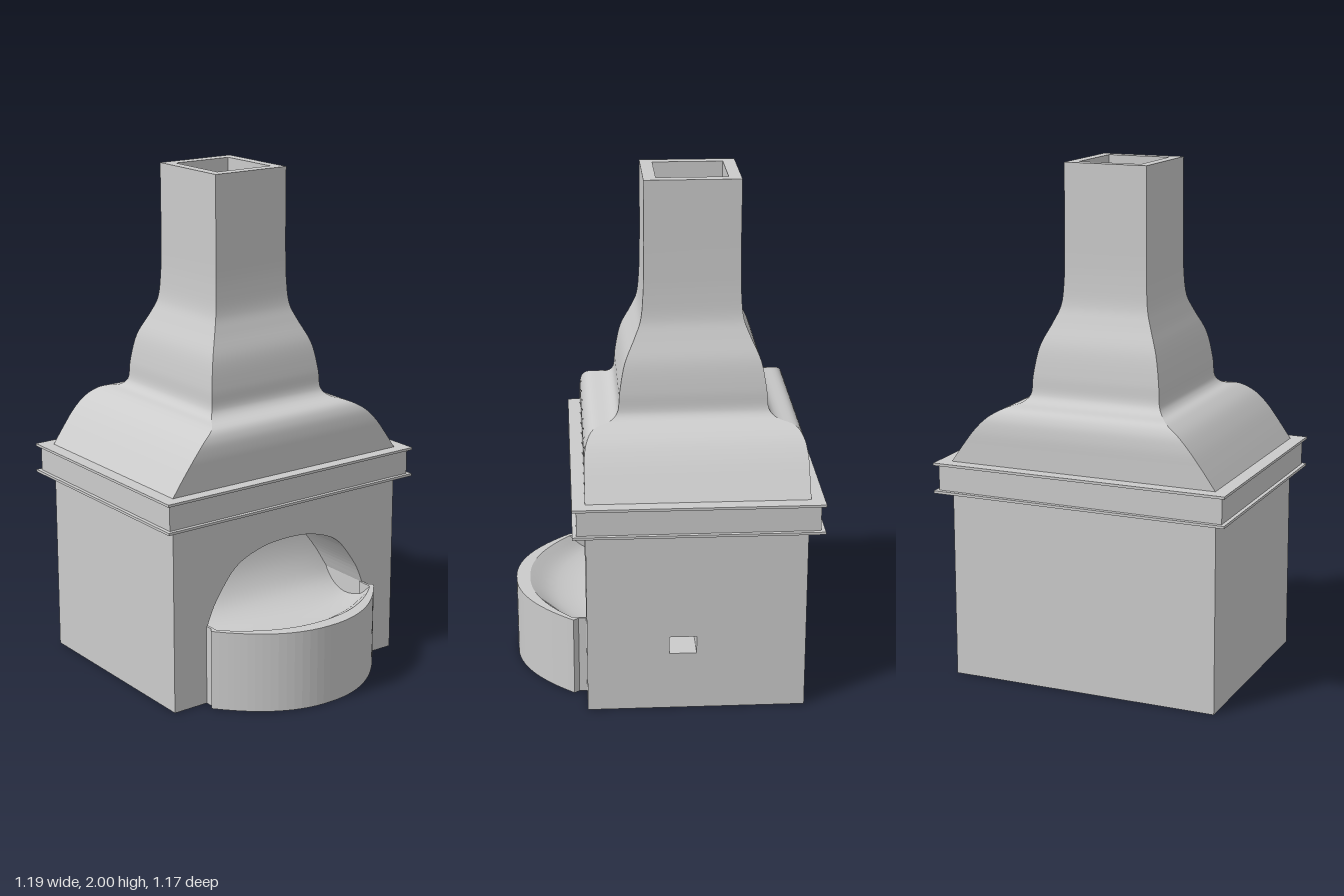
import * as THREE from 'three';

const CZ = -0.1125; // depth centre of the hood and flue
const mat = new THREE.MeshStandardMaterial({ color: 0xcccccc });
const matDouble = new THREE.MeshStandardMaterial({ color: 0xcccccc, side: THREE.DoubleSide });
const v2 = (p) => new THREE.Vector2(p[0], p[1]);

function add(parent, name, geometry, material = mat) {
  const mesh = new THREE.Mesh(geometry, material);
  mesh.name = name;
  parent.add(mesh);
  return mesh;
}

// Box given by its limits
function block(parent, name, x0, x1, y0, y1, z0, z1) {
  const mesh = add(parent, name, new THREE.BoxGeometry(x1 - x0, y1 - y0, z1 - z0));
  mesh.position.set((x0 + x1) / 2, (y0 + y1) / 2, (z0 + z1) / 2);
}

function rect(Type, x0, x1, y0, y1) {
  return new Type([[x0, y0], [x1, y0], [x1, y1], [x0, y1]].map(v2));
}

const extrude = (shape, depth) => new THREE.ExtrudeGeometry(shape, { depth, bevelEnabled: false });

// Four-sided skin through rows of [y, half width, half depth], sharp at the corners
function fourSided(rows) {
  const corners = [[1, 1], [1, -1], [-1, -1], [-1, 1]];
  const pos = [], index = [];
  for (let s = 0; s < 4; s++) {
    const start = pos.length / 3;
    rows.forEach(([y, hx, hz], r) => {
      for (const [cx, cz] of [corners[s], corners[(s + 1) % 4]]) pos.push(cx * hx, y, CZ + cz * hz);
      if (r === 0) return;
      const a = start + (r - 1) * 2;
      index.push(a, a + 1, a + 3, a, a + 3, a + 2);
    });
  }
  const g = new THREE.BufferGeometry();
  g.setAttribute('position', new THREE.Float32BufferAttribute(pos, 3));
  g.setIndex(index);
  g.computeVertexNormals();
  return g;
}

// Plan curves of the hearth: z of the outer face and of the inner lip
const outerZ = (x) => 0.36 + 0.225 * (1 - Math.pow(Math.abs(x) / 0.405, 2.2));
const innerZ = (x) => 0.345 + 0.185 * (1 - Math.pow(Math.abs(x) / 0.4, 2.2));

function sweep(fn, half, n = 40) {
  return Array.from({ length: n + 1 }, (_, i) => {
    const x = -half * Math.cos((Math.PI * i) / n);
    return [x, fn(x)];
  });
}

// Extrude a plan of [x, z] points upward
function planExtrude(points, height) {
  const g = extrude(new THREE.Shape(points.map(([x, z]) => new THREE.Vector2(x, -z))), height);
  return g.rotateX(-Math.PI / 2);
}

function buildBody(parent) {
  // Front wall with the arched fire opening
  const front = rect(THREE.Shape, -0.54, 0.54, 0, 0.75);
  const half = new THREE.SplineCurve([[0.385, 0.32], [0.355, 0.39], [0.31, 0.46], [0.26, 0.52],
    [0.2, 0.558], [0.1, 0.588], [0, 0.595]].map(v2)).getPoints(24);
  const mirrored = half.slice(0, -1).reverse().map((p) => new THREE.Vector2(-p.x, p.y));
  front.holes.push(new THREE.Path([v2([0.385, 0.23]), ...half, ...mirrored, v2([-0.385, 0.23])]));
  add(parent, 'frontWall', extrude(front, 0.29)).position.z = 0.02;

  // Rear block, with a square vent in its left side
  block(parent, 'rearBlock', -0.54, 0.34, 0, 0.75, -0.53, 0.02);
  const side = rect(THREE.Shape, -0.02, 0.53, 0, 0.75);
  side.holes.push(rect(THREE.Path, 0.005, 0.11, 0.235, 0.305));
  add(parent, 'ventWall', extrude(side, 0.2).rotateY(Math.PI / 2)).position.x = 0.34;
}

function buildHearth(parent) {
  const outer = [[-0.39, 0.3], [-0.39, 0.34], ...sweep(outerZ, 0.405), [0.39, 0.34], [0.39, 0.3]];
  const inner = [[-0.38, 0.3], ...sweep(innerZ, 0.38), [0.38, 0.3]];
  add(parent, 'hearthBase', planExtrude(outer, 0.02));
  add(parent, 'hearthRim', planExtrude([...outer, ...inner.reverse()], 0.3)).position.y = 0.02;

  // Dished fire bed that sweeps up into the back of the firebox
  const profile = new THREE.SplineCurve([[1, 0.32], [0.8, 0.265], [0.5, 0.245], [0.25, 0.28],
    [0.1, 0.36], [0.02, 0.47], [0, 0.6]].map(v2));
  const bed = new THREE.PlaneGeometry(0.768, 1, 32, 28);
  const p = bed.attributes.position;
  for (let i = 0; i < p.count; i++) {
    const x = p.getX(i);
    const q = profile.getPoint(THREE.MathUtils.clamp(p.getY(i) + 0.5, 0, 1));
    p.setXYZ(i, x, q.y, 0.03 + q.x * (innerZ(x) - 0.03));
  }
  bed.computeVertexNormals();
  add(parent, 'fireBed', bed, matDouble);
}

function buildCornice(parent) {
  block(parent, 'corniceBand', -0.578, 0.578, 0.75, 0.86, -0.57, 0.345);
  for (const y of [0.745, 0.855]) {
    block(parent, 'corniceFlange', -0.593, 0.593, y, y + 0.01, -0.587, 0.36);
  }
}

function buildHood(parent) {
  // Each point is (half width, height, half depth)
  const profile = new THREE.CatmullRomCurve3([
    [0.543, 0.86, 0.423], [0.49, 0.935, 0.423], [0.44, 1.0, 0.422], [0.39, 1.05, 0.412],
    [0.335, 1.083, 0.385], [0.285, 1.1, 0.315], [0.265, 1.125, 0.29], [0.258, 1.2, 0.281],
    [0.238, 1.31, 0.26], [0.2, 1.4, 0.22], [0.178, 1.46, 0.197], [0.169, 1.56, 0.187],
    [0.167, 1.7, 0.184], [0.167, 2, 0.184],
  ].map((a) => new THREE.Vector3(...a)), false, 'centripetal');
  add(parent, 'hood', fourSided(profile.getPoints(65).map((q) => [q.y, q.x, q.z])));

  // Flue mouth, shaft and floor
  add(parent, 'flueRim', fourSided([[2, 0.167, 0.184], [2, 0.125, 0.136]]));
  add(parent, 'flueShaft', fourSided([[2, 0.125, 0.136], [0.9, 0.125, 0.136]]));
  add(parent, 'flueFloor', fourSided([[0.9, 0.125, 0.136], [0.9, 0, 0]]));
}

export function createModel() {
  const model = new THREE.Group();
  model.name = 'fireplace';
  const parts = { body: buildBody, hearth: buildHearth, cornice: buildCornice, chimney: buildHood };
  for (const [name, build] of Object.entries(parts)) {
    const group = new THREE.Group();
    group.name = name;
    build(group);
    model.add(group);
  }
  return model;
}
